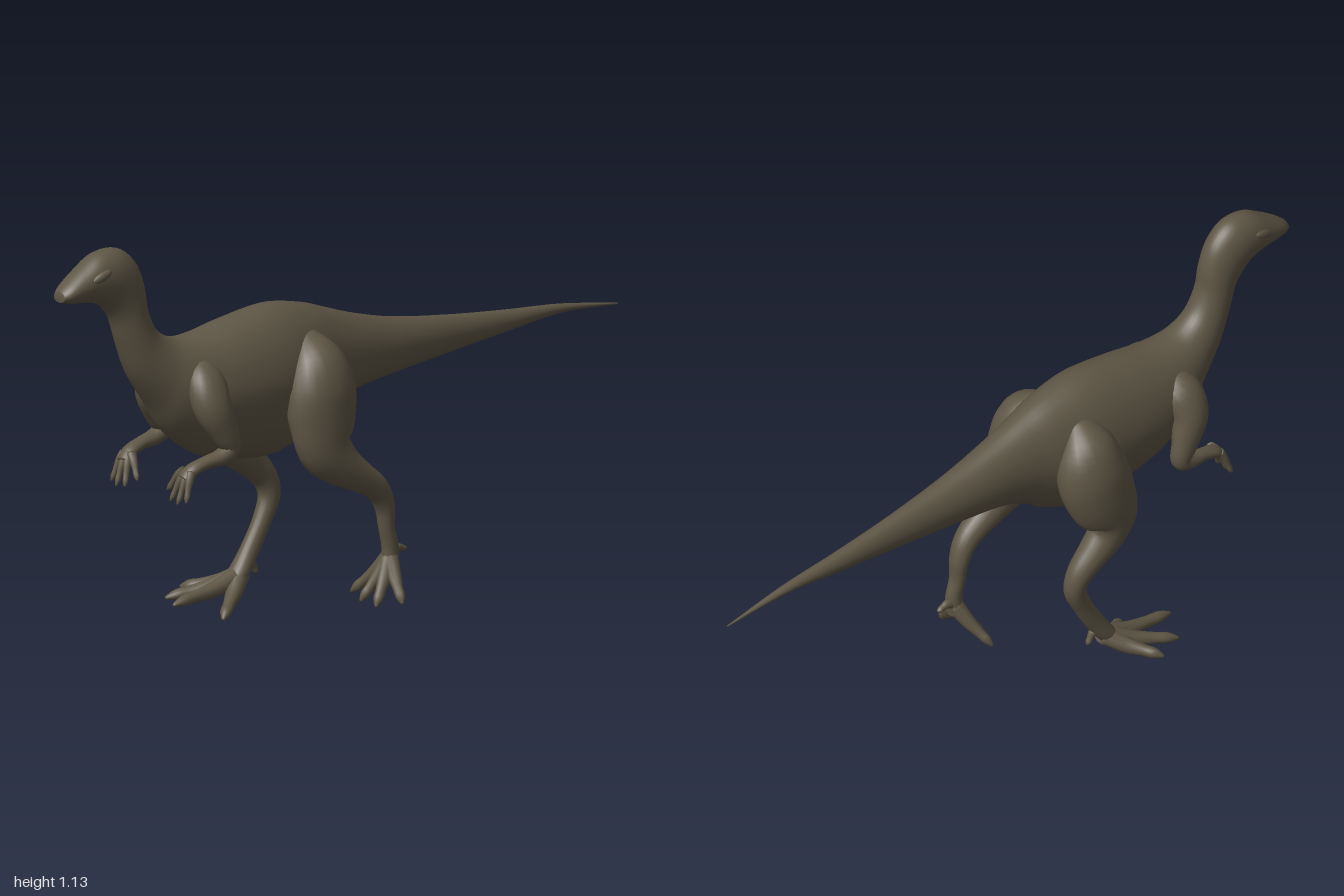
import * as THREE from 'three';

const skin = new THREE.MeshStandardMaterial({ color: 0x5e5645 });
skin.name = 'olive brown skin';
const CENTRE = 0.01;

// Smoothly resample rows of numbers (Catmull-Rom on every column)
function resample(rows, steps) {
  const out = [];
  const at = (i) => rows[Math.max(0, Math.min(rows.length - 1, i))];
  for (let i = 0; i < rows.length - 1; i++) {
    for (let s = 0; s < steps; s++) {
      const t = s / steps;
      out.push(rows[i].map((p1, k) => {
        const p0 = at(i - 1)[k], p2 = at(i + 1)[k], p3 = at(i + 2)[k];
        return p1 + 0.5 * t * (p2 - p0 + t * (2 * p0 - 5 * p1 + 4 * p2 - p3 + t * (3 * (p1 - p2) + p3 - p0)));
      }));
    }
  }
  out.push(rows[rows.length - 1]);
  return out;
}

// Skin closed rings of points, capped at both ends
function loft(name, rings) {
  const n = rings[0].length, last = rings.length - 1;
  const pos = rings.flat().flatMap((p) => [p.x, p.y, p.z]);
  const index = [];
  for (let i = 0; i < last; i++) {
    for (let j = 0; j < n; j++) {
      const a = i * n + j, b = i * n + ((j + 1) % n);
      index.push(a, b, a + n, b, b + n, a + n);
    }
  }
  for (const r of [0, last]) {
    const c = rings[r].reduce((s, p) => s.add(p), new THREE.Vector3()).divideScalar(n);
    const ci = pos.length / 3;
    pos.push(c.x, c.y, c.z);
    for (let j = 0; j < n; j++) {
      const a = r * n + j, b = r * n + ((j + 1) % n);
      if (r) index.push(ci, a, b); else index.push(ci, b, a);
    }
  }
  const g = new THREE.BufferGeometry();
  g.setAttribute('position', new THREE.Float32BufferAttribute(pos, 3));
  g.setIndex(index);
  g.computeVertexNormals();
  const mesh = new THREE.Mesh(g, skin);
  mesh.name = name;
  return mesh;
}

// Limb from rows of [x, y, z, sideways radius, depth radius]
function limb(name, rows, sides = 20, steps = 5) {
  const secs = resample(rows, steps);
  const pts = secs.map((s) => new THREE.Vector3(s[0], s[1], s[2]));
  const rings = secs.map((s, i) => {
    const t = pts[Math.min(i + 1, pts.length - 1)].clone().sub(pts[Math.max(i - 1, 0)]).normalize();
    const side = new THREE.Vector3(1, 0, 0).addScaledVector(t, -t.x).normalize();
    const up = t.clone().cross(side);
    return Array.from({ length: sides }, (_, j) => {
      const a = (j / sides) * Math.PI * 2;
      return pts[i].clone().addScaledVector(side, Math.cos(a) * s[3]).addScaledVector(up, Math.sin(a) * s[4]);
    });
  });
  return loft(name, rings);
}

// Tapered digit: root, raised knuckle, swollen pad, pointed claw
function digit(name, root, tip, r, lift) {
  const mix = (t, y) => root.map((v, k) => v + (tip[k] - v) * t + (k === 1 ? y : 0));
  return limb(name, [
    [...root, r, r], [...mix(0.35, lift), r * 0.8, r * 0.8], [...mix(0.65, lift * 0.5), r * 0.58, r * 0.58],
    [...mix(0.85, 0), r * 0.55, r * 0.5], [...tip, r * 0.15, r * 0.15],
  ], 10, 4);
}

// Tail, trunk, neck and head: [top z, top y, bottom z, bottom y, half width]
function body() {
  const rows = [
    [-1, 0.662, -1, 0.658, 0.002], [-0.8, 0.695, -0.8, 0.67, 0.013],
    [-0.6, 0.713, -0.6, 0.652, 0.024], [-0.4, 0.735, -0.4, 0.632, 0.036],
    [-0.2, 0.765, -0.2, 0.612, 0.054], [-0.05, 0.803, -0.05, 0.592, 0.07],
    [0.05, 0.837, 0.05, 0.555, 0.086], [0.14, 0.867, 0.13, 0.5, 0.108],
    [0.26, 0.885, 0.25, 0.462, 0.128], [0.4, 0.868, 0.39, 0.472, 0.13],
    [0.5, 0.85, 0.52, 0.51, 0.12], [0.57, 0.846, 0.62, 0.585, 0.1],
    [0.62, 0.857, 0.675, 0.665, 0.078], [0.665, 0.89, 0.745, 0.765, 0.06],
    [0.695, 0.95, 0.785, 0.86, 0.053], [0.707, 1.02, 0.81, 0.93, 0.052],
    [0.735, 1.087, 0.84, 0.97, 0.055], [0.79, 1.132, 0.87, 0.99, 0.057],
    [0.86, 1.133, 0.91, 1, 0.053], [0.92, 1.1, 0.95, 1.004, 0.045],
    [0.97, 1.065, 0.98, 1.01, 0.036], [0.996, 1.043, 0.997, 1.015, 0.022],
  ];
  const sides = 36;
  const rings = resample(rows, 5).map(([zt, yt, zb, yb, w]) => {
    const cx = CENTRE * THREE.MathUtils.smoothstep(zt, -0.7, 0.2);
    const keel = THREE.MathUtils.smoothstep(w, 0.06, 0.12) * 0.22;
    return Array.from({ length: sides }, (_, j) => {
      const a = (j / sides) * Math.PI * 2, s = Math.sin(a), h = (s + 1) / 2;
      // the trunk narrows towards a keeled belly
      const x = Math.cos(a) * w * (s < 0 ? 1 + keel * s : 1);
      return new THREE.Vector3(cx + x, yb + (yt - yb) * h, zb + (zt - zb) * h);
    });
  });
  return loft('body', rings);
}

function foot(name, root, tips, heelRoot, heelTip, r, lift) {
  const g = new THREE.Group();
  g.name = name;
  tips.forEach((tip, i) => g.add(digit('toe' + (i + 1), root, tip, r, lift)));
  g.add(digit('hindToe', heelRoot, heelTip, 0.016, 0.008));
  return g;
}

function arm(name, m) {
  const g = new THREE.Group();
  g.name = name;
  const x = (v) => CENTRE + m * (v - CENTRE);
  g.add(limb('armAndForearm', [
    [0.06, 0.785, 0.53, 0.02, 0.03], [0.1, 0.735, 0.55, 0.045, 0.058], [0.132, 0.67, 0.555, 0.046, 0.056],
    [0.147, 0.6, 0.527, 0.034, 0.042], [0.15, 0.55, 0.508, 0.027, 0.029], [0.149, 0.53, 0.54, 0.025, 0.023],
    [0.145, 0.522, 0.59, 0.021, 0.018], [0.14, 0.508, 0.635, 0.024, 0.017], [0.135, 0.485, 0.66, 0.022, 0.014],
  ].map(([px, ...rest]) => [x(px), ...rest])));
  const tips = [[0.072, 0.445, 0.665], [0.105, 0.424, 0.682], [0.138, 0.42, 0.685], [0.166, 0.428, 0.678]];
  tips.forEach(([tx, ty, tz], i) => {
    g.add(digit('finger' + (i + 1), [x(0.135 + (i - 1.5) * 0.01), 0.505, 0.645], [x(tx), ty, tz], 0.014, 0.008));
  });
  return g;
}

export function createModel() {
  const model = new THREE.Group();
  model.name = 'bipedalDinosaur';
  model.add(body());

  // Brow ridges
  for (const m of [-1, 1]) {
    const brow = new THREE.Mesh(new THREE.SphereGeometry(1, 16, 10), skin);
    brow.name = m > 0 ? 'leftBrow' : 'rightBrow';
    brow.scale.set(0.012, 0.014, 0.035);
    brow.position.set(CENTRE + m * 0.046, 1.075, 0.885);
    brow.rotation.set(0.4, -m * 0.15, 0);
    model.add(brow);
  }

  model.add(arm('leftArm', 1), arm('rightArm', -1));

  // Left leg, pushing off behind
  model.add(limb('leftLeg', [
    [0.08, 0.8, 0.18, 0.02, 0.03], [0.115, 0.735, 0.175, 0.07, 0.08], [0.135, 0.66, 0.175, 0.082, 0.105],
    [0.148, 0.58, 0.18, 0.072, 0.105], [0.162, 0.5, 0.18, 0.056, 0.085], [0.172, 0.445, 0.135, 0.046, 0.062],
    [0.175, 0.4, 0.07, 0.041, 0.044], [0.175, 0.355, 0.008, 0.035, 0.035], [0.173, 0.3, -0.022, 0.03, 0.027],
    [0.172, 0.24, -0.03, 0.024, 0.022], [0.172, 0.18, -0.043, 0.022, 0.025], [0.17, 0.13, -0.04, 0.026, 0.024],
  ]));
  model.add(foot('leftFoot', [0.171, 0.155, -0.042],
    [[0.072, 0.045, 0.01], [0.14, 0.036, 0.035], [0.208, 0.034, 0.038], [0.262, 0.045, -0.01]],
    [0.168, 0.165, -0.05], [0.165, 0.168, -0.107], 0.025, -0.006));

  // Right leg, striding forward
  model.add(limb('rightLeg', [
    [-0.06, 0.8, 0.2, 0.02, 0.03], [-0.095, 0.735, 0.2, 0.07, 0.08], [-0.115, 0.66, 0.2, 0.082, 0.105],
    [-0.13, 0.58, 0.22, 0.072, 0.105], [-0.138, 0.5, 0.25, 0.058, 0.085], [-0.14, 0.445, 0.235, 0.05, 0.06],
    [-0.14, 0.4, 0.19, 0.044, 0.046], [-0.136, 0.35, 0.143, 0.036, 0.037], [-0.132, 0.295, 0.128, 0.03, 0.032],
    [-0.13, 0.23, 0.155, 0.026, 0.027], [-0.13, 0.16, 0.195, 0.026, 0.027], [-0.13, 0.095, 0.24, 0.032, 0.026],
    [-0.13, 0.06, 0.28, 0.03, 0.02],
  ]));
  model.add(foot('rightFoot', [-0.13, 0.09, 0.235],
    [[-0.266, 0.045, 0.33], [-0.222, 0.038, 0.42], [-0.13, 0.045, 0.47], [-0.034, 0.008, 0.375]],
    [-0.13, 0.125, 0.205], [-0.13, 0.085, 0.172], 0.029, -0.008));
  return model;
}
